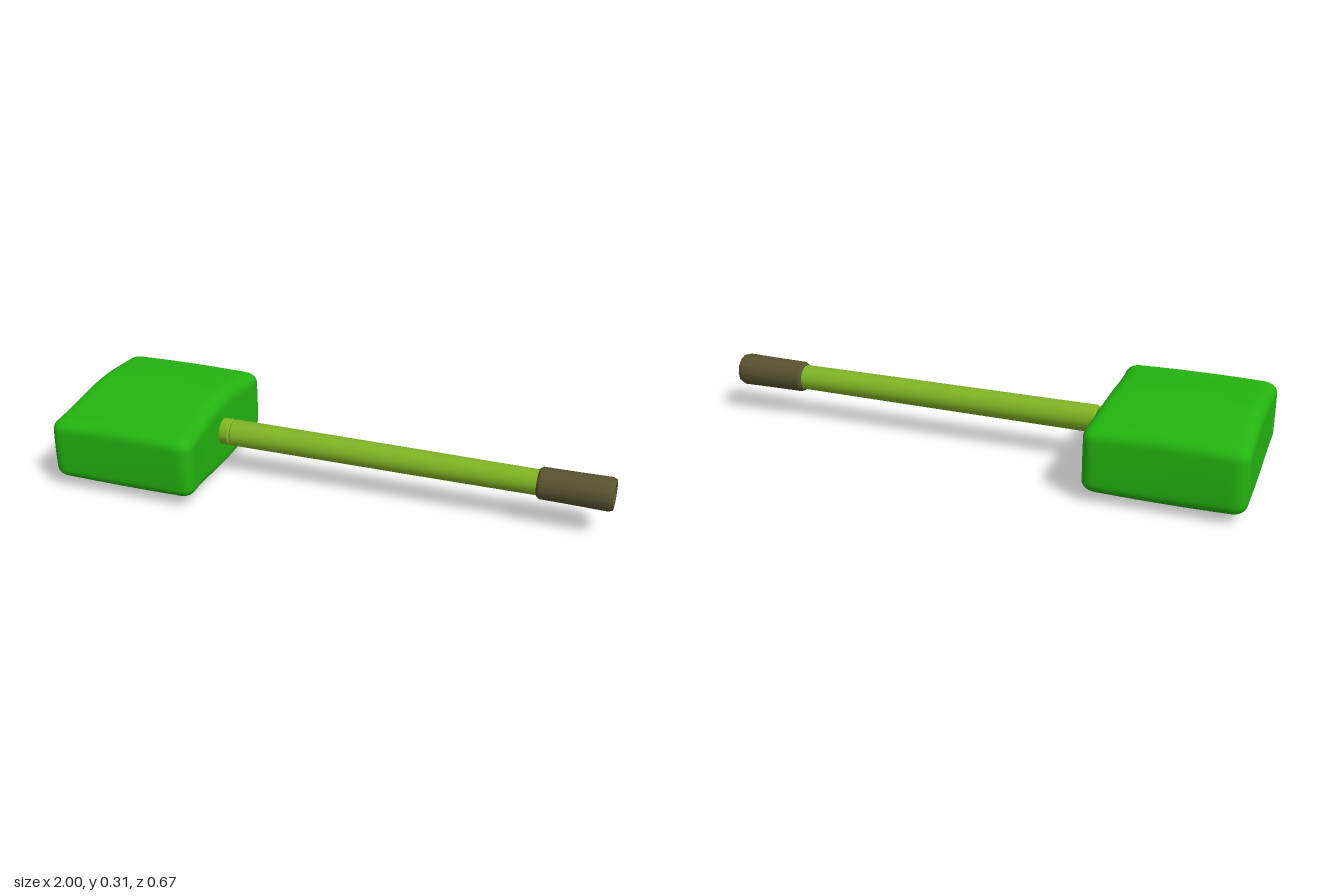
import * as THREE from 'three';
import { mergeVertices, toCreasedNormals } from 'three/addons/utils/BufferGeometryUtils.js';

const AXIS_Y = 0.169;

// Rounded block, swollen in the middle and pinched along its sides
function headGeometry() {
  const half = new THREE.Vector3(0.28, 0.155, 0.336), r = 0.05;
  const inner = half.clone().subScalar(r);
  let g = new THREE.BoxGeometry(half.x * 2, half.y * 2, half.z * 2, 44, 26, 52);
  g.deleteAttribute('uv');
  g.deleteAttribute('normal');
  g = mergeVertices(g, 1e-5);
  const pos = g.attributes.position, p = new THREE.Vector3(), c = new THREE.Vector3();
  for (let i = 0; i < pos.count; i++) {
    p.fromBufferAttribute(pos, i);
    c.copy(p).clamp(inner.clone().negate(), inner);
    p.sub(c).setLength(r).add(c);
    const u = p.x / half.x, v = p.y / half.y, w = p.z / half.z;
    // crown along z (peak slightly behind centre) and gently along x
    const crown = 0.5 + 0.5 * Math.cos(Math.PI * Math.min(1, Math.abs(p.z + 0.04) / 0.37));
    const y = p.y * (0.79 + 0.21 * crown) * (1 - 0.07 * u * u);
    // concave inner side, slightly hollow ends
    const waist = u > 0 ? 0.016 : 0.004;
    const x = p.x - u * waist * (1 - w * w);
    const z = p.z - w * 0.008 * (1 - u * u) - w * 0.005 * v * v;
    pos.setXYZ(i, x - 0.72, y + 0.158, z);
  }
  g.computeVertexNormals();
  return g;
}

// Turned part along the x axis from [x, radius] pairs
function turned(name, profile, sides, crease, material) {
  const g = new THREE.LatheGeometry(profile.map(([x, r]) => new THREE.Vector2(r, x)), sides);
  g.rotateZ(-Math.PI / 2);
  const mesh = new THREE.Mesh(toCreasedNormals(g, crease), material);
  mesh.name = name;
  mesh.position.y = AXIS_Y;
  return mesh;
}

export function createModel() {
  const mat = (name, color) => new THREE.MeshStandardMaterial({ name, color });
  const green = mat('head green', 0x24b410);
  const lime = mat('handle lime', 0x80b424);
  const brown = mat('grip brown', 0x585230);

  const model = new THREE.Group();
  model.name = 'mallet';

  const head = new THREE.Mesh(headGeometry(), green);
  head.name = 'head';
  model.add(head);

  // Shaft with a grooved collar where it enters the head
  model.add(turned('handle', [
    [-0.6, 0], [-0.6, 0.048], [-0.425, 0.05], [-0.418, 0.044], [-0.412, 0.05],
    [-0.1, 0.049], [0.3, 0.048], [0.75, 0.046], [0.75, 0],
  ], 16, 0.5, lime));

  // End grip with bevelled rims and a shallow recess in the cap
  model.add(turned('grip', [
    [0.735, 0], [0.735, 0.049], [0.745, 0.057], [0.86, 0.058], [0.985, 0.06],
    [1, 0.054], [1, 0.043], [0.988, 0.039], [0.988, 0],
  ], 12, 0.6, brown));

  return model;
}
